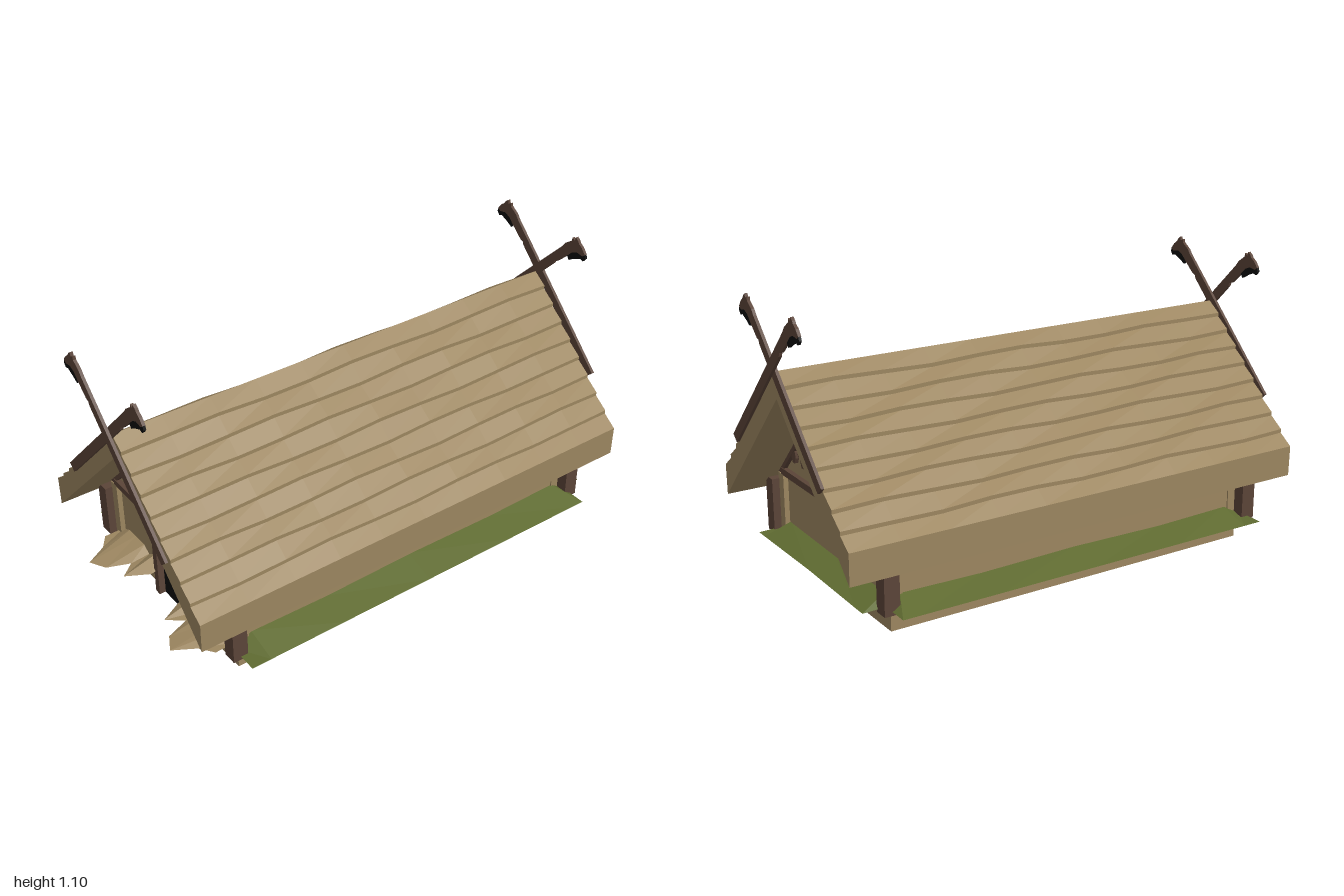
import * as THREE from 'three';

const make = (name, color) => {
  const m = new THREE.MeshStandardMaterial({ color, side: THREE.DoubleSide });
  m.name = name;
  return m;
};

export function createModel() {
  const root = new THREE.Group();
  root.name = 'longhouse';
  const tan = make('thatch tan', 0x9c8660);
  const brown = make('dark timber', 0x5b4438);
  const green = make('grass green', 0x5f6b31);
  const black = make('black', 0x0d0d0d);

  const add = (parent, name, geo, mat) => {
    const mesh = new THREE.Mesh(geo, mat);
    mesh.name = name;
    parent.add(mesh);
    return mesh;
  };
  // Box given by its limits on each axis
  const box = (parent, name, mat, x0, x1, y0, y1, z0, z1) => {
    const mesh = add(parent, name, new THREE.BoxGeometry(x1 - x0, y1 - y0, z1 - z0), mat);
    mesh.position.set((x0 + x1) / 2, (y0 + y1) / 2, (z0 + z1) / 2);
    return mesh;
  };
  // Flat outline extruded from z0 to z1
  const plate = (parent, name, mat, pts, z0, z1, steps = 1) => {
    const shape = new THREE.Shape(pts.map(([x, y]) => new THREE.Vector2(x, y)));
    const geo = new THREE.ExtrudeGeometry(shape, { depth: z1 - z0, steps, bevelEnabled: false });
    geo.translate(0, 0, z0);
    return add(parent, name, geo, mat);
  };

  // Thatched roof: stepped courses with slightly wavy edges
  const courses = 9, dx = 0.515 / courses, slope = 0.0413, drop = 0.015;
  const half = [];
  for (let i = 1; i <= courses; i++) {
    const y = 0.86 - i * slope - (i - 1) * drop;
    half.push([i * dx, y]);
    if (i < courses) half.push([i * dx, y - drop]);
  }
  half.push([0.513, 0.247]);
  const mirrored = half.map(([x, y]) => [-x, y]).reverse();
  const roof = plate(root, 'thatchedRoof', tan,
    [[0, 0.86], ...half, [0, 0.76], ...mirrored], -0.975, 0.975, 10);
  const p = roof.geometry.attributes.position;
  for (let i = 0; i < p.count; i++) {
    const x = Math.abs(p.getX(i)), y = p.getY(i), z = p.getZ(i);
    if (x > 0.03 && x < 0.5 && x + y > 0.8 && Math.abs(z) < 0.97) {
      p.setY(i, y + 0.006 * Math.sin(z * 9 + Math.round(x / dx) * 2.1));
    }
  }
  roof.geometry.computeVertexNormals();

  // Long side walls
  for (const s of [-1, 1]) {
    const a = s * 0.425, b = s * 0.405;
    box(root, 'sideWall', tan, Math.min(a, b), Math.max(a, b), 0, 0.345, -0.78, 0.78);
  }

  // Gable ends, identical at front and back
  for (const end of [1, -1]) {
    const g = new THREE.Group();
    g.name = end > 0 ? 'frontGable' : 'backGable';
    g.scale.z = end;
    root.add(g);
    plate(g, 'gableWall', tan,
      [[-0.425, 0], [0.425, 0], [0.425, 0.34], [0, 0.765], [-0.425, 0.34]], 0.76, 0.78);
    box(g, 'tieBeam', brown, -0.4, 0.4, 0.328, 0.355, 0.775, 0.8);
    box(g, 'collarBeam', brown, -0.085, 0.085, 0.664, 0.68, 0.775, 0.802);
    plate(g, 'smokeHole', black, [[-0.06, 0.68], [0.06, 0.68], [0, 0.74]], 0.779, 0.786);
    plate(g, 'smokeHoleTip', black, [[-0.01, 0.75], [0, 0.74], [0.01, 0.75], [0, 0.76]], 0.795, 0.802);

    // Pointed hanging planks, alternately long and short
    for (let i = 0; i < 15; i++) {
      const x = -0.253 + i * 0.0387, w = 0.0178;
      const low = i % 2 ? 0.435 : 0.405;
      const z = i % 2 ? 0.789 : 0.795;
      const top = Math.min(0.666, 0.74 - Math.abs(x));
      plate(g, 'gablePlank', brown, [[x - w, top], [x - w, low + 0.022], [x - w * 0.4, low],
        [x + w * 0.4, low], [x + w, low + 0.022], [x + w, top]], 0.778, z);
    }

    for (const s of [-1, 1]) {
      plate(g, 'rakeTrim', brown,
        [[0, 0.762], [s * 0.43, 0.332], [s * 0.405, 0.332], [0, 0.737]], 0.778, 0.797);
      const span = (a, b) => (s > 0 ? [a, b] : [-b, -a]);
      box(g, 'cornerPost', brown, ...span(0.42, 0.477), 0.085, 0.305, 0.77, 0.83);
      box(g, 'cornerPanel', tan, ...span(0.382, 0.424), 0.085, 0.33, 0.77, 0.8);
      box(g, 'sidePanel', tan, ...span(0.42, 0.43), 0.085, 0.3, 0.735, 0.775);

      // Crossed barge boards ending in carved beast heads; s is the head's side
      const z0 = s < 0 ? 0.988 : 0.975, z1 = z0 + 0.012;
      const side = (pts) => pts.map(([x, y]) => [s * x, y]);
      plate(g, 'bargeBoard', brown, side([[-0.353, 0.541], [-0.325, 0.516], [0.095, 0.936],
        [0.1, 0.95], [0.115, 0.955], [0.165, 1.0], [0.19, 1.025], [0.215, 1.035],
        [0.245, 1.03], [0.258, 1.04], [0.24, 1.062], [0.222, 1.075], [0.216, 1.085],
        [0.203, 1.095], [0.198, 1.08], [0.185, 1.087], [0.183, 1.073], [0.15, 1.05],
        [0.135, 1.03], [0.09, 0.985]]), z0, z1);
      plate(g, 'carvedJaw', black, side([[0.165, 1.0], [0.175, 0.985], [0.2, 1.0], [0.235, 1.015],
        [0.25, 1.01], [0.262, 1.025], [0.256, 1.042], [0.24, 1.034], [0.215, 1.038],
        [0.19, 1.027]]), z0 + 0.001, z1 - 0.001);
    }
  }

  // Doorway
  const door = new THREE.Group();
  door.name = 'doorway';
  root.add(door);
  box(door, 'doorOpening', black, -0.078, 0.078, 0.002, 0.28, 0.735, 0.786);
  box(door, 'doorLintel', brown, -0.135, 0.135, 0.281, 0.306, 0.775, 0.815);
  for (const s of [-1, 1]) {
    const x = s * 0.096;
    box(door, 'doorPost', brown, x - 0.014, x + 0.014, 0, 0.352, 0.775, 0.81);
    box(door, 'doorPostCap', brown, x - 0.019, x + 0.019, 0.35, 0.375, 0.772, 0.815);
  }

  // Sloping skirts at the wall foot; rows are [along, wall height, outer reach]
  const skirt = (name, mat, rows, wall, place) => {
    const pos = [], idx = [];
    rows.forEach(([s, y, out], i) => {
      pos.push(...place(s, y, wall), ...place(s, 0.098, out));
      if (i) {
        const k = 2 * i;
        idx.push(k - 2, k - 1, k, k, k - 1, k + 1);
      }
    });
    const geo = new THREE.BufferGeometry();
    geo.setAttribute('position', new THREE.Float32BufferAttribute(pos, 3));
    geo.setIndex(idx);
    const flat = geo.toNonIndexed();
    // Face upward
    flat.computeVertexNormals();
    if (flat.attributes.normal.getY(0) < 0) {
      geo.setIndex(idx.reverse());
      const up = geo.toNonIndexed();
      up.computeVertexNormals();
      return add(root, name, up, mat);
    }
    return add(root, name, flat, mat);
  };
  for (const s of [-1, 1]) {
    skirt('sideGrass', green, [[-0.8, 0.1, 0.55], [-0.74, 0.137, 0.55], [-0.4, 0.131, 0.55],
      [0, 0.138, 0.55], [0.4, 0.131, 0.55], [0.72, 0.138, 0.55], [0.8, 0.1, 0.55]],
    0.42, (t, y, out) => [s * out, y, t]);
    skirt('frontEarth', tan, [[0.1, 0.11, 0.83], [0.15, 0.138, 0.92], [0.2, 0.106, 0.86],
      [0.235, 0.13, 0.95], [0.3, 0.13, 0.985], [0.35, 0.128, 0.9], [0.405, 0.1, 0.86]],
    0.775, (t, y, out) => [s * t, y, out]);
  }
  skirt('backGrass', green, [[-0.43, 0.1, 0.89], [-0.38, 0.135, 0.89], [0, 0.13, 0.885],
    [0.38, 0.135, 0.89], [0.43, 0.1, 0.89]], 0.775, (t, y, out) => [t, y, -out]);

  return root;
}
